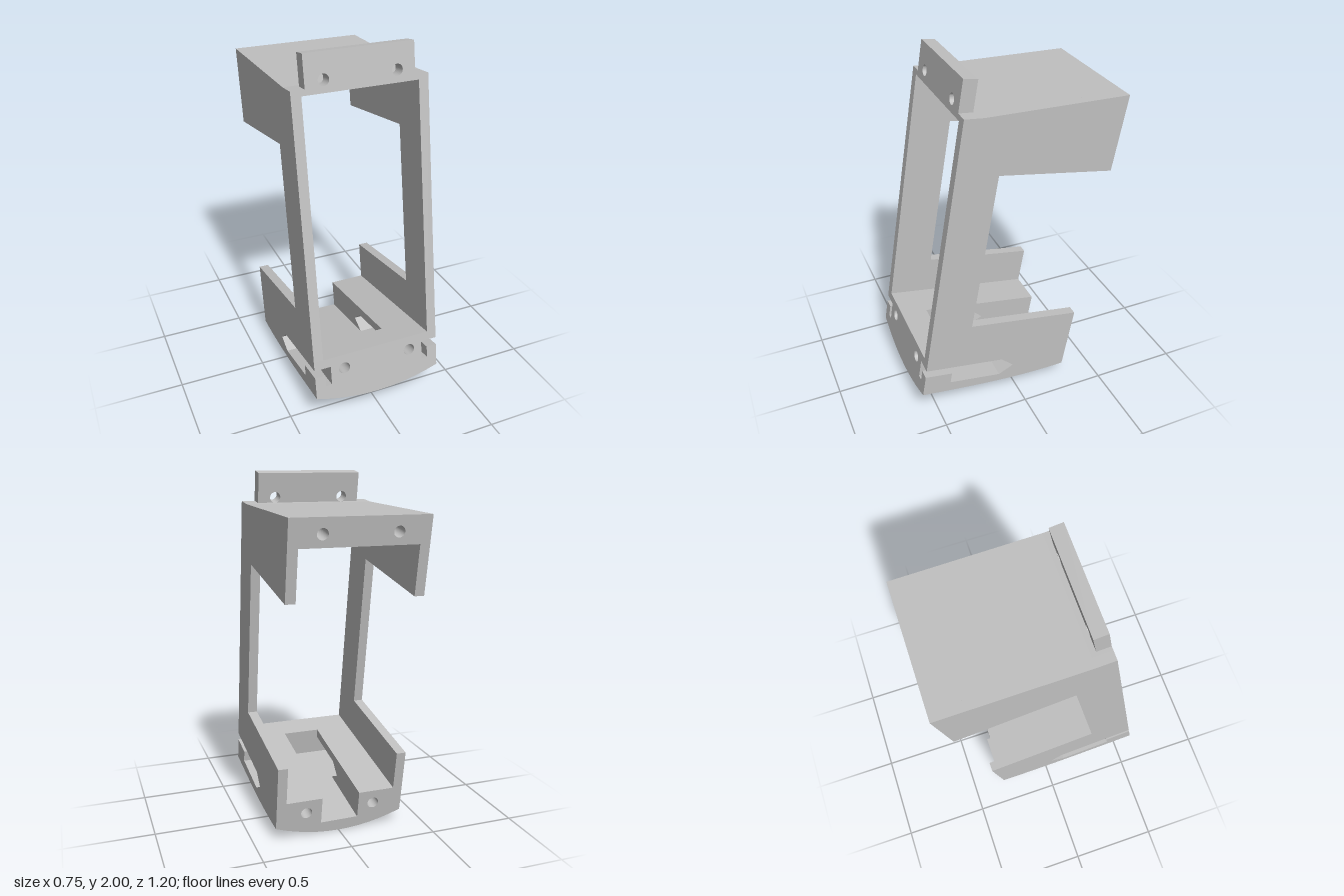
import * as THREE from 'three';

const DEPTH = 0.897, HALF = 0.375, INNER = 0.32, CHANNEL = 0.11;
const FLOOR = 0.284, SLOT_LOW = 0.122, SLOT_HIGH = 0.233;

export function createModel() {
  const model = new THREE.Group();
  model.name = 'bracket';
  // The whole bracket leans back; inside the group y runs up its front face and -z is depth.
  const body = new THREE.Group();
  body.name = 'leaningBody';
  body.rotation.x = -0.17;
  body.position.set(0, 0.1, 0.6);
  model.add(body);

  const grey = new THREE.MeshStandardMaterial({ color: 0xc0c0c0 });
  grey.name = 'grey plastic';

  const toShape = (pts) => new THREE.Shape(pts.map(([a, b]) => new THREE.Vector2(a, b)));

  function add(name, geometry) {
    geometry.computeVertexNormals();
    const mesh = new THREE.Mesh(geometry, grey);
    mesh.name = name;
    body.add(mesh);
  }

  // Cross-section in (x, up) swept from depth d0 to d1, with optional pair of round holes.
  function section(name, pts, d0, d1, hole, rule) {
    const shape = toShape(pts);
    if (hole) {
      for (const s of [-1, 1]) {
        shape.holes.push(new THREE.Path().absarc(s * 0.2, hole.y, hole.r, 0, Math.PI * 2, true));
      }
    }
    const g = new THREE.ExtrudeGeometry(shape, {
      depth: d1 - d0, steps: rule ? 4 : 1, bevelEnabled: false, curveSegments: 24,
    });
    g.translate(0, 0, -d1);
    if (rule) {
      const p = g.attributes.position;
      for (let i = 0; i < p.count; i++) p.setY(i, rule(p.getX(i), p.getY(i), -p.getZ(i)));
    }
    add(name, g);
  }

  // Side profile in (depth, up) swept from x0 to x1.
  function profile(name, pts, x0, x1) {
    const g = new THREE.ExtrudeGeometry(toShape(pts.map(([d, y]) => [-d, y])), {
      depth: x1 - x0, bevelEnabled: false,
    });
    g.rotateY(-Math.PI / 2);
    g.translate(x1, 0, 0);
    add(name, g);
  }

  // Curved underside: arc across, rising towards the rear.
  const arc = [];
  for (let i = 0; i <= 12; i++) {
    const t = i / 6 - 1;
    arc.push([t * HALF, 0.058 * t * t]);
  }
  const underside = (x, y, d) => {
    if (y > 0.1) return y;
    const k = d / DEPTH;
    return y + 0.053 * k ** 3 + 0.017 * k * (x / HALF) ** 2;
  };
  const mirrored = (right) => [...right, ...right.map(([x, y]) => [-x, y]).reverse()];
  const lowHole = { y: 0.203, r: 0.033 };

  // Base: front block with L-shaped strap notches, slotted middle, channelled rear
  section('baseFront', [...arc, ...mirrored([
    [HALF, 0.188], [0.315, 0.188], [0.315, SLOT_LOW], [0.28, SLOT_LOW],
    [0.28, SLOT_HIGH], [HALF, SLOT_HIGH], [HALF, FLOOR],
  ])], 0, 0.16, lowHole, underside);
  section('baseShell', [...arc, ...mirrored([[HALF, SLOT_LOW]])], 0.16, 0.55, null, underside);
  section('baseRear', [...arc, ...mirrored([
    [HALF, FLOOR], [CHANNEL, FLOOR], [CHANNEL, SLOT_LOW],
  ])], 0.55, DEPTH, lowHole, underside);

  const wall = [
    [0, FLOOR], [0, 1.755], [0.105, 1.762], [DEPTH, 1.8786], [DEPTH, 1.451],
    [0.235, 1.451], [0.235, 0.511], [DEPTH, 0.511], [DEPTH, FLOOR],
  ];
  for (const [side, s] of [['left', 1], ['right', -1]]) {
    const span = (a, b) => (s > 0 ? [a, b] : [-b, -a]);
    // Roof over the strap slot and its pointed rear end
    profile(side + 'SlotRoof', [[0.16, SLOT_HIGH], [0.16, FLOOR], [0.55, FLOOR], [0.55, SLOT_HIGH]], ...span(CHANNEL, HALF));
    profile(side + 'SlotTipLower', [[0.47, SLOT_LOW], [0.55, 0.178], [0.55, SLOT_LOW]], ...span(CHANNEL, HALF));
    profile(side + 'SlotTipUpper', [[0.47, SLOT_HIGH], [0.55, SLOT_HIGH], [0.55, 0.178]], ...span(CHANNEL, HALF));
    // C-shaped side wall
    profile(side + 'Wall', wall, ...span(INNER, HALF));
  }

  // Wedge-shaped top plate; its rear part carries two blind holes
  const split = 0.7, slope = 0.1472;
  profile('topPlateFront', [
    [0, 1.725], [0, 1.755], [0.105, 1.762], [split, 1.8786 - slope * (DEPTH - split)], [split, 1.727],
  ], -INNER, INNER);
  section('topPlateRear', [[-INNER, 1.727], [INNER, 1.727], [INNER, 1.8786], [-INNER, 1.8786]],
    split, DEPTH, { y: 1.795, r: 0.03 },
    (x, y, d) => (y > 1.85 ? y - slope * (DEPTH - d) : y));

  // Upright mounting tab
  section('mountingTab', [[-0.3, 1.755], [0.3, 1.755], [0.3, 1.927], [-0.3, 1.927]], 0, 0.077, { y: 1.79, r: 0.03 });

  return model;
}
